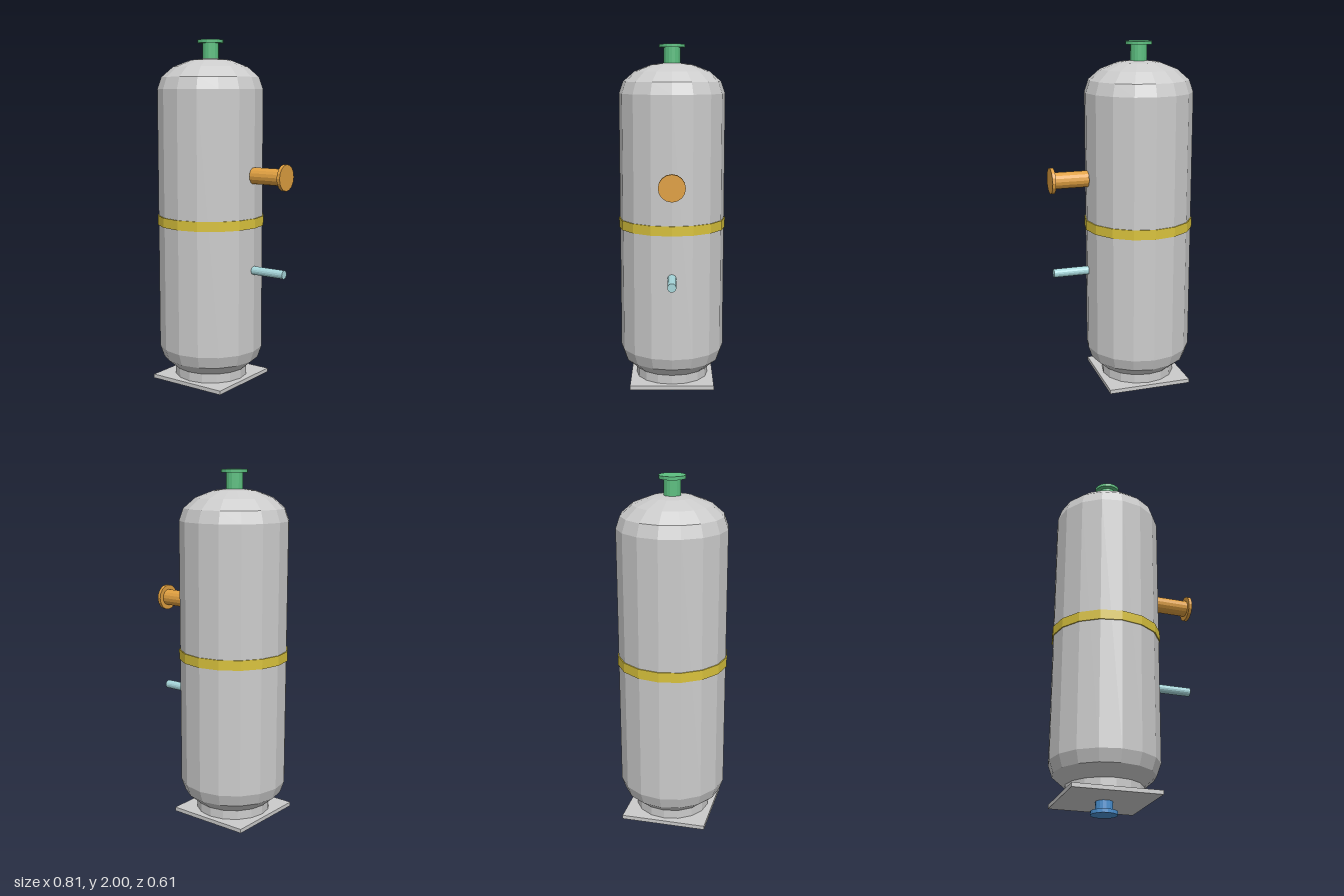
import * as THREE from 'three';

const AXIS_X = -0.1; // vessel centre line
const SIDES = 16;

const material = (color) => new THREE.MeshStandardMaterial({ color, flatShading: true });

function addMesh(parent, name, geometry, mat, x = 0, y = 0) {
  const mesh = new THREE.Mesh(geometry, mat);
  mesh.name = name;
  mesh.position.set(x, y, 0);
  parent.add(mesh);
  return mesh;
}

// Upright cylinder from y0 to y1
function addCylinder(parent, name, r, y0, y1, mat, sides = SIDES) {
  return addMesh(parent, name, new THREE.CylinderGeometry(r, r, y1 - y0, sides), mat, 0, (y0 + y1) / 2);
}

// Pipe stub with an end flange, running along +y from its group's origin
function createNozzle(name, color, length, flangeThickness) {
  const nozzle = new THREE.Group();
  nozzle.name = name;
  const mat = material(color);
  addCylinder(nozzle, name + 'Neck', 0.046, 0, length - flangeThickness, mat);
  addCylinder(nozzle, name + 'Flange', 0.072, length - flangeThickness, length, mat);
  return nozzle;
}

// Shell outline: straight wall with a flattened dome at each end
function shellGeometry(radius, yBottom, yTop, domeHeight) {
  const points = [];
  const steps = 4;
  for (let i = -steps; i <= steps; i++) {
    const a = (i / steps) * Math.PI / 2;
    const r = Math.abs(i) === steps ? 0 : radius * Math.cos(a);
    if (i <= 0) points.push(new THREE.Vector2(r, yBottom + domeHeight * Math.sin(a)));
    if (i >= 0) points.push(new THREE.Vector2(r, yTop + domeHeight * Math.sin(a)));
  }
  return new THREE.LatheGeometry(points, SIDES);
}

export function createModel() {
  const model = new THREE.Group();
  model.name = 'pressureVessel';
  const grey = material(0xcccccc);

  // Parts centred on the vessel axis
  const vessel = new THREE.Group();
  vessel.name = 'vessel';
  vessel.position.x = AXIS_X;
  model.add(vessel);

  addMesh(vessel, 'shell', shellGeometry(0.298, 0.267, 1.73, 0.172), grey);
  addCylinder(vessel, 'middleBand', 0.304, 0.972, 1.026, material(0xd9c23c));
  addCylinder(vessel, 'skirt', 0.208, 0.09, 0.15, grey);
  addMesh(vessel, 'basePlate', new THREE.BoxGeometry(0.476, 0.022, 0.476), grey, 0, 0.081);

  // Top and bottom nozzles
  const top = createNozzle('topNozzle', 0x5cbf80, 0.11, 0.018);
  top.position.y = 1.89;
  const bottom = createNozzle('bottomNozzle', 0x4a90d0, 0.11, 0.02);
  bottom.position.y = 0.11;
  bottom.rotation.x = Math.PI;
  vessel.add(top, bottom);

  // Side nozzle and slim probe, both pointing to +x
  const side = createNozzle('sideNozzle', 0xdf9f40, 0.21, 0.019);
  side.position.set(0.195, 1.263, 0);
  side.rotation.z = -Math.PI / 2;
  model.add(side);

  const probe = addMesh(model, 'probe', new THREE.CylinderGeometry(0.024, 0.024, 0.2, SIDES), material(0xa6d6da), 0.295, 0.735);
  probe.rotation.z = -Math.PI / 2;

  return model;
}
